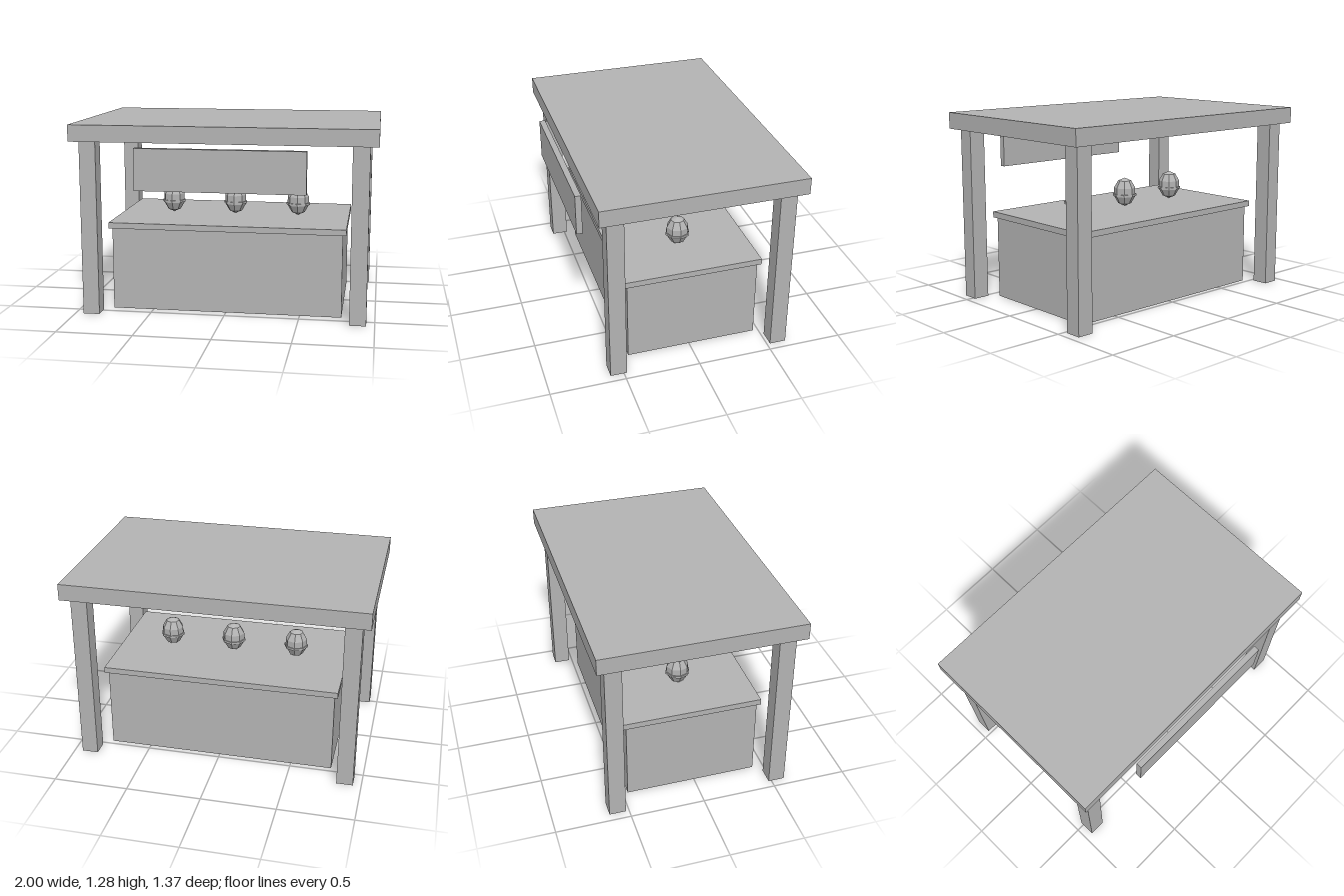
import * as THREE from 'three';

export function createModel() {
  const group = new THREE.Group();
  group.name = 'marketStall';
  const grey = new THREE.MeshStandardMaterial({ color: 0xb3b3b3, flatShading: true });
  grey.name = 'plainGrey';

  const add = (parent, name, geometry, x, y, z) => {
    const mesh = new THREE.Mesh(geometry, grey);
    mesh.name = name;
    mesh.position.set(x, y, z);
    parent.add(mesh);
    return mesh;
  };
  // Box given by its lower and upper corners
  const box = (name, [x0, y0, z0], [x1, y1, z1]) =>
    add(group, name, new THREE.BoxGeometry(x1 - x0, y1 - y0, z1 - z0),
      (x0 + x1) / 2, (y0 + y1) / 2, (z0 + z1) / 2);

  // Canopy, hanging sign and counter
  box('roof', [-1, 1.17, -0.687], [1, 1.28, 0.645]);
  box('sign', [-0.555, 0.865, 0.647], [0.555, 1.14, 0.687]);
  box('counter', [-0.778, 0, -0.465], [0.778, 0.56, 0.425]);
  box('counterTop', [-0.8, 0.56, -0.487], [0.8, 0.6, 0.445]);

  // Corner posts
  for (const x of [-0.89, 0.89]) {
    for (const z of [-0.577, 0.535]) {
      box('post', [x - 0.055, 0, z - 0.055], [x + 0.055, 1.17, z + 0.055]);
    }
  }

  // Three banded eggs on the counter
  for (const x of [-0.444, 0, 0.444]) {
    const egg = new THREE.Group();
    egg.name = 'egg';
    egg.position.set(x, 0.702, -0.02);
    add(egg, 'eggShell', new THREE.SphereGeometry(0.078, 8, 5), 0, 0, 0).scale.y = 0.1 / 0.078;
    add(egg, 'eggBand', new THREE.CylinderGeometry(0.082, 0.082, 0.015, 8), 0, -0.02, 0);
    group.add(egg);
  }
  return group;
}
